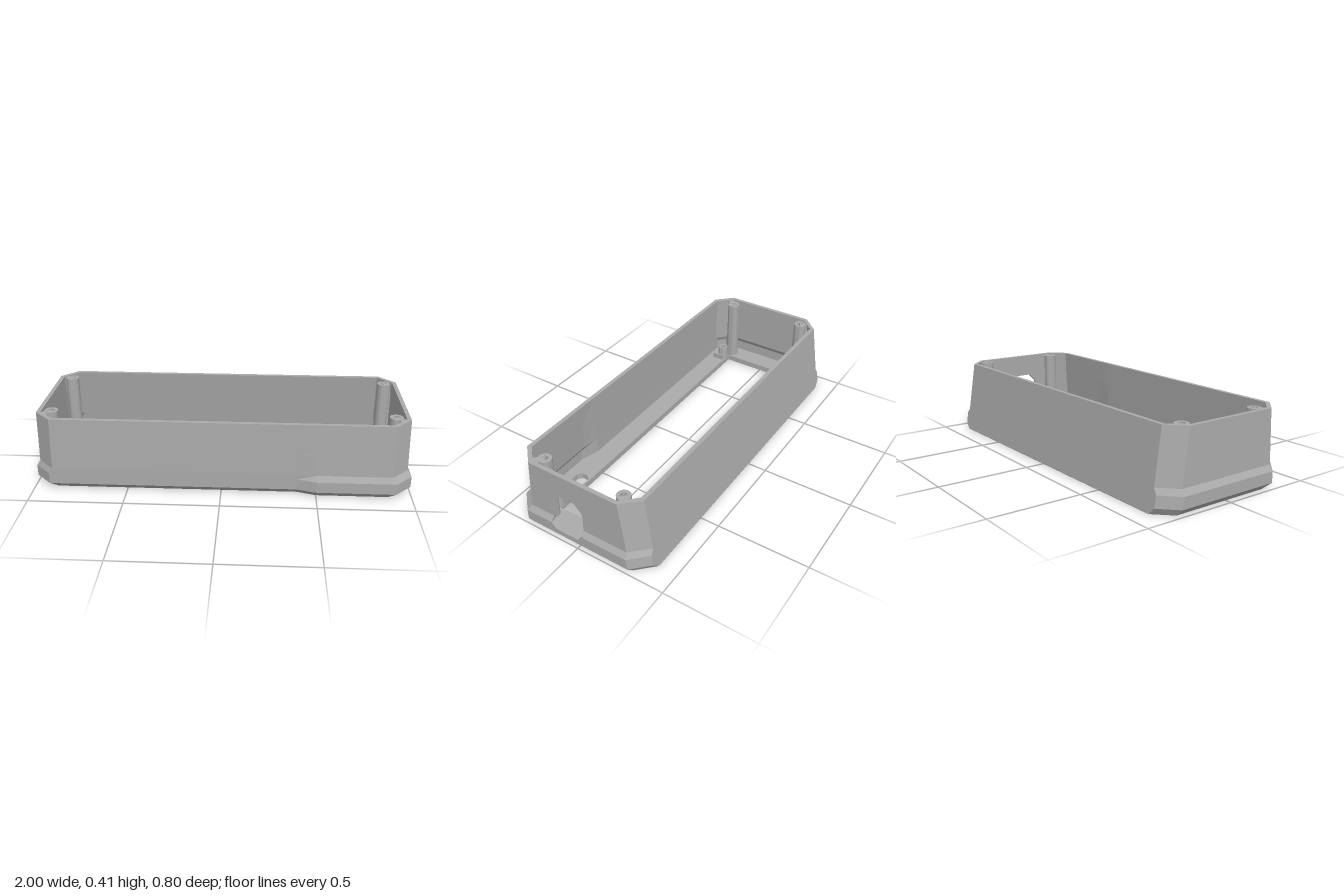
import * as THREE from 'three';
import { toCreasedNormals } from 'three/addons/utils/BufferGeometryUtils.js';

const T = 0.022; // wall thickness
const FLOOR = 0.035;
const TOP = 0.405;
const LEVELS = [0, FLOOR, 0.065, 0.095, 0.125, 0.23, 0.275, TOP];
const PORT_LOW = 0.065, PORT_HIGH = 0.275;

// Piecewise linear profile lookup
function at(profile, y) {
  if (y <= profile[0][0]) return profile[0][1];
  for (let i = 1; i < profile.length; i++) {
    const [y0, v0] = profile[i - 1], [y1, v1] = profile[i];
    if (y <= y1) return v0 + (v1 - v0) * (y - y0) / (y1 - y0);
  }
  return profile[profile.length - 1][1];
}
const END = [[0, 0.965], [0.035, 1], [0.095, 1], [0.125, 0.98], [TOP, 0.975]];
const FRONT_FLARED = [[0, 0.365], [0.035, 0.4], [0.095, 0.4], [0.125, 0.381], [TOP, 0.364]];
const FRONT_PLAIN = [[0, 0.335], [0.035, 0.371], [0.125, 0.371], [TOP, 0.364]];
const BACK = [[0, 0.396], [TOP, 0.335]];
const PORT_FRONT = [[0.065, 0.125], [0.095, 0.155], [0.125, 0.15], [0.23, 0.15], [0.275, 0.105]];
const PORT_BACK = [[0.065, -0.01], [0.095, -0.04], [0.125, -0.034], [0.23, -0.034], [0.275, 0.01]];

// Chamfered outline at height y, inset by t; points 5 and 6 are the port edges
function outline(y, t) {
  const c = 0.088, k = 0.414 * t;
  const ex = at(END, y), zr = at(FRONT_FLARED, y), zl = at(FRONT_PLAIN, y), zb = at(BACK, y);
  const cx = ex - c - k, e = ex - t;
  return [
    [-cx, zl - t], [0.4, zl - t], [0.5, zr - t], [cx, zr - t],
    [e, zr - c - k], [e, at(PORT_FRONT, y)], [e, at(PORT_BACK, y)], [e, -(zb - c - k)],
    [cx, -(zb - t)], [-cx, -(zb - t)], [-e, -(zb - c - k)], [-e, zl - c - k],
  ].map(([x, z]) => new THREE.Vector3(x, y, z));
}

function shellGeometry() {
  const pos = [];
  const quad = (a, b, c, d) => [a, b, c, a, c, d].forEach((p) => pos.push(p.x, p.y, p.z));
  const outer = LEVELS.map((y) => outline(y, 0));
  const inner = LEVELS.map((y) => outline(y, T));
  const n = outer[0].length;
  for (let r = 0; r < LEVELS.length - 1; r++) {
    const o = outer[r], O = outer[r + 1], q = inner[r], Q = inner[r + 1];
    const open = LEVELS[r] >= PORT_LOW && LEVELS[r + 1] <= PORT_HIGH;
    for (let i = 0; i < n; i++) {
      const j = (i + 1) % n;
      if (open && i === 5) continue;
      quad(o[i], o[j], O[j], O[i]);
      if (r > 0) quad(q[j], q[i], Q[i], Q[j]);
    }
    if (open) { // sides of the port
      quad(o[5], q[5], Q[5], O[5]);
      quad(q[6], o[6], O[6], Q[6]);
    }
  }
  // sill and head of the port
  const lo = LEVELS.indexOf(PORT_LOW), hi = LEVELS.indexOf(PORT_HIGH);
  quad(outer[lo][5], outer[lo][6], inner[lo][6], inner[lo][5]);
  quad(outer[hi][6], outer[hi][5], inner[hi][5], inner[hi][6]);
  // top rim
  const o = outer[outer.length - 1], q = inner[inner.length - 1];
  for (let i = 0; i < n; i++) {
    const j = (i + 1) % n;
    quad(o[i], o[j], q[j], q[i]);
  }
  const g = new THREE.BufferGeometry();
  g.setAttribute('position', new THREE.Float32BufferAttribute(pos, 3));
  g.computeVertexNormals();
  return g;
}

// Closed path in the floor plane, with shape y = -z
const path = (pts) => new THREE.Path(pts.map(([x, z]) => new THREE.Vector2(x, -z)));

// Slanted groove outline
function groove(x, z, w, d, slant = 0) {
  return path([[x - w / 2 - slant, z - d / 2], [x + w / 2 - slant, z - d / 2],
    [x + w / 2 + slant, z + d / 2], [x - w / 2 + slant, z + d / 2]]);
}

function floorShape(loop, grooves = []) {
  const shape = new THREE.Shape(loop.map((p) => new THREE.Vector2(p.x, -p.z)));
  const opening = path([[-0.865, -0.24], [0.855, -0.24], [0.855, 0.237], [-0.865, 0.237]]);
  const b = 0.02, [x0, x1, z0, z1] = [0.59, 0.685, 0.247, 0.322];
  const slot = path([[x0 + b, z0], [x1 - b, z0], [x1, z0 + b], [x1, z1 - b],
    [x1 - b, z1], [x0 + b, z1], [x0, z1 - b], [x0, z0 + b]]);
  shape.holes.push(opening, slot, ...grooves);
  return shape;
}

// Round post with a blind screw hole
function postGeometry(rBottom, rTop, hole, y0, y1) {
  const pts = [[rBottom, y0], [rTop, y1], [hole, y1], [hole, y1 - 0.05], [0, y1 - 0.05]];
  const g = new THREE.LatheGeometry(pts.map(([x, y]) => new THREE.Vector2(x, y)), 24);
  return toCreasedNormals(g, 0.6);
}

export function createModel() {
  const group = new THREE.Group();
  const grey = new THREE.MeshStandardMaterial({ color: 0xaaaaaa });
  grey.name = 'grey plastic';
  const add = (name, geometry, x = 0, y = 0, z = 0) => {
    const m = new THREE.Mesh(geometry, grey);
    m.name = name;
    m.position.set(x, y, z);
    group.add(m);
    return m;
  };

  add('shell', shellGeometry());

  // Floor: engraved underside, core and inside surface
  const grooves = [];
  for (let i = 0; i < 8; i++) grooves.push(groove(0.48 + i * 0.035, -0.315, 0.014, 0.07, 0.012));
  for (const [x, w] of [[0.22, 0.14], [0.04, 0.1], [-0.2, 0.3]]) grooves.push(groove(x, -0.32, w, 0.014));
  grooves.push(groove(-0.1, 0.29, 0.4, 0.014));
  for (const s of [-1, 1]) {
    for (let i = -1; i <= 1; i++) grooves.push(groove(s * 0.91, i * 0.035, 0.05, 0.013));
  }
  const base = outline(0, 0);
  const extrude = (shape, depth) =>
    new THREE.ExtrudeGeometry(shape, { depth, bevelEnabled: false }).rotateX(-Math.PI / 2);
  add('floorUnderside', extrude(floorShape(base, grooves), 0.006));
  add('floorCore', extrude(floorShape(outline(0, 0.02)), 0.028), 0, 0.006, 0);
  add('floorInside', new THREE.ShapeGeometry(floorShape(outline(FLOOR, T))).rotateX(-Math.PI / 2), 0, FLOOR, 0);

  // Screw posts and board supports in each corner
  const tall = postGeometry(0.036, 0.036, 0.018, 0.03, TOP - 0.004);
  const short = postGeometry(0.034, 0.028, 0.016, 0.03, 0.115);
  for (const sx of [-1, 1]) {
    for (const sz of [-1, 1]) {
      const z = sz * 0.235;
      add('screwPost', tall, sx * 0.905, 0, z);
      const length = sz > 0 ? 0.075 : 0.057;
      const web = add('postWeb', new THREE.BoxGeometry(0.04, TOP - 0.04, length),
        sx * (0.905 + length * 0.354), (TOP + 0.025) / 2, z + sz * length * 0.354);
      web.rotation.y = sx * sz * Math.PI / 4;
      add('boardSupport', short, sx * 0.828, 0, sz * 0.26);
      add('supportFoot', new THREE.BoxGeometry(0.075, 0.035, 0.07), sx * 0.828, 0.05, sz * 0.279);
    }
  }
  return group;
}
